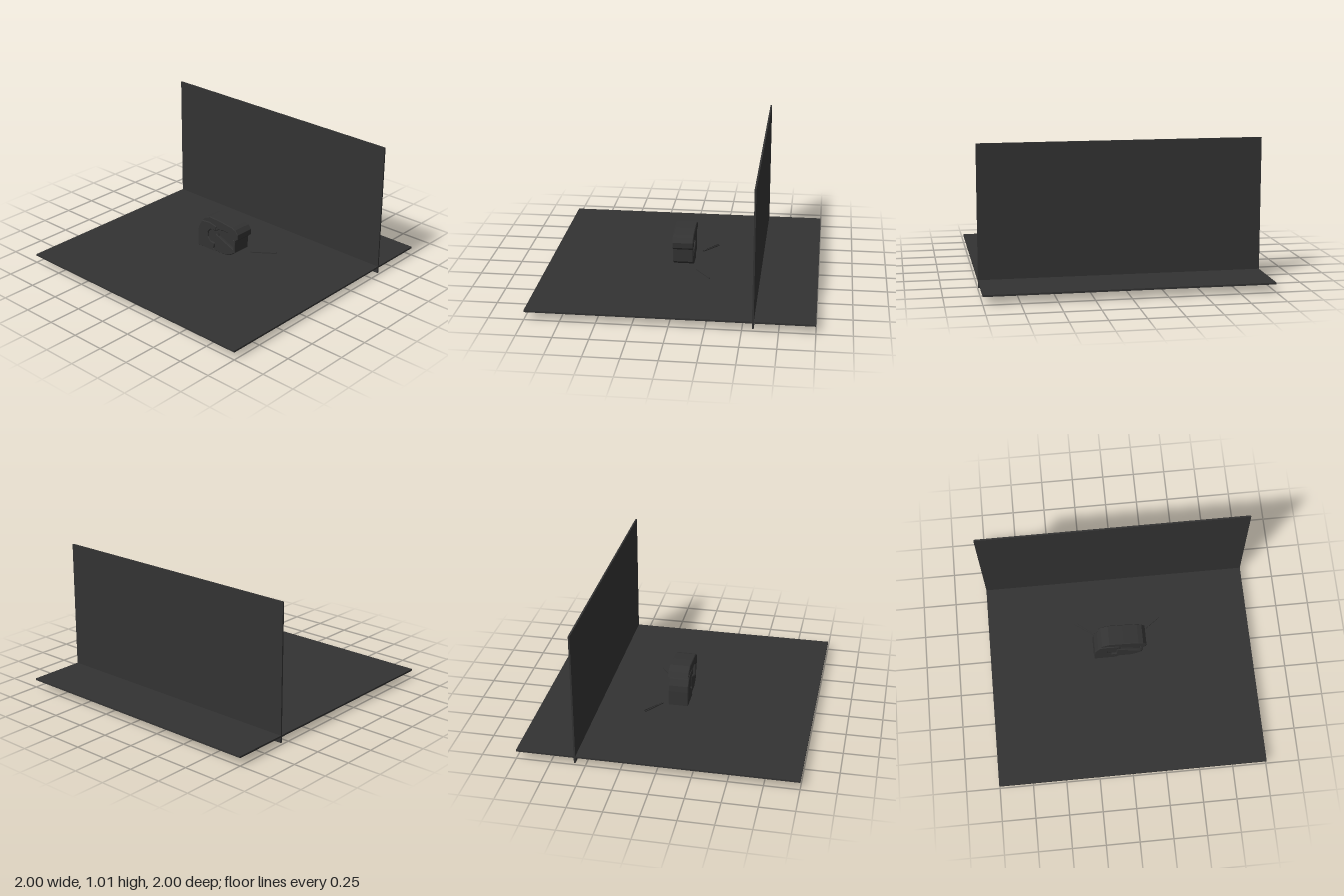
import * as THREE from 'three';

export function createModel() {
  const model = new THREE.Group();
  const charcoal = new THREE.MeshStandardMaterial({ color: 0x333333 });
  charcoal.name = 'charcoal';

  const add = (name, geometry, x = 0, y = 0, z = 0) => {
    const mesh = new THREE.Mesh(geometry, charcoal);
    mesh.name = name;
    mesh.position.set(x, y, z);
    model.add(mesh);
    return mesh;
  };
  // Box given by its minimum and maximum corners
  const box = (name, a, b) => add(name,
    new THREE.BoxGeometry(b[0] - a[0], b[1] - a[1], b[2] - a[2]),
    (a[0] + b[0]) / 2, (a[1] + b[1]) / 2, (a[2] + b[2]) / 2);
  // Side profile extruded from z0 to z1 with a small bevel
  const slab = (name, points, z0, z1, bevel = 0.005) => {
    const shape = new THREE.Shape(points.map(([x, y]) => new THREE.Vector2(x, y)));
    add(name, new THREE.ExtrudeGeometry(shape, {
      depth: z1 - z0 - 2 * bevel, bevelEnabled: true, bevelSize: bevel,
      bevelThickness: bevel, bevelOffset: -bevel, bevelSegments: 1,
    }), 0, 0, z0 + bevel);
  };

  // Crossed panels and the block under the floor
  box('floor', [-1, 0.056, -1], [1, 0.069, 1]);
  box('backWall', [-1, 0.015, -0.582], [1, 1.015, -0.57]);
  box('footing', [-0.21, 0, -0.095], [0.205, 0.057, 0.077]);

  // Rear housing
  slab('rearHousing', [
    [-0.21, 0.078], [-0.03, 0.078], [-0.05, 0.1], [-0.035, 0.145], [-0.075, 0.15],
    [-0.105, 0.18], [-0.105, 0.22], [-0.075, 0.25], [-0.03, 0.25], [-0.02, 0.29],
    [-0.09, 0.305], [-0.16, 0.297], [-0.175, 0.28], [-0.2, 0.235], [-0.207, 0.19],
  ], -0.07, 0.077);

  // Curved top shell
  slab('topShell', [
    [-0.17, 0.29], [-0.145, 0.325], [-0.09, 0.349], [0.02, 0.343], [0.13, 0.33],
    [0.165, 0.317], [0.19, 0.285], [0.188, 0.245], [0.175, 0.23], [0.155, 0.225],
    [0.13, 0.255], [0.09, 0.272], [0.04, 0.275], [0, 0.265], [-0.035, 0.248],
    [-0.06, 0.27], [-0.1, 0.285],
  ], -0.083, 0.071);

  // Lower front housing with its slanted upper edge
  slab('frontHousing', [
    [-0.05, 0.08], [0.075, 0.08], [0.12, 0.1], [0.16, 0.128], [0.162, 0.232],
    [0.14, 0.23], [0.14, 0.155], [0.05, 0.19], [-0.03, 0.225], [-0.04, 0.15],
  ], -0.08, 0.07);

  // Recessed core and round hub
  slab('core', [
    [-0.11, 0.14], [0.14, 0.14], [0.14, 0.24], [0.08, 0.285], [-0.1, 0.3],
  ], -0.06, 0.05);
  const hub = add('hub', new THREE.CylinderGeometry(0.052, 0.052, 0.13, 24), -0.055, 0.2, 0);
  hub.rotation.x = Math.PI / 2;

  // Thin strips lying on the floor behind
  const strip = (name, x0, z0, x1, z1, width) => {
    const mesh = add(name,
      new THREE.BoxGeometry(Math.hypot(x1 - x0, z1 - z0), 0.008, width),
      (x0 + x1) / 2, 0.074, (z0 + z1) / 2);
    mesh.rotation.y = -Math.atan2(z1 - z0, x1 - x0);
  };
  strip('leftStripInner', -0.19, -0.125, -0.32, -0.23, 0.007);
  strip('leftStripOuter', -0.19, -0.115, -0.335, -0.22, 0.007);
  strip('rightStrip', 0.165, -0.105, 0.32, -0.218, 0.009);

  return model;
}
